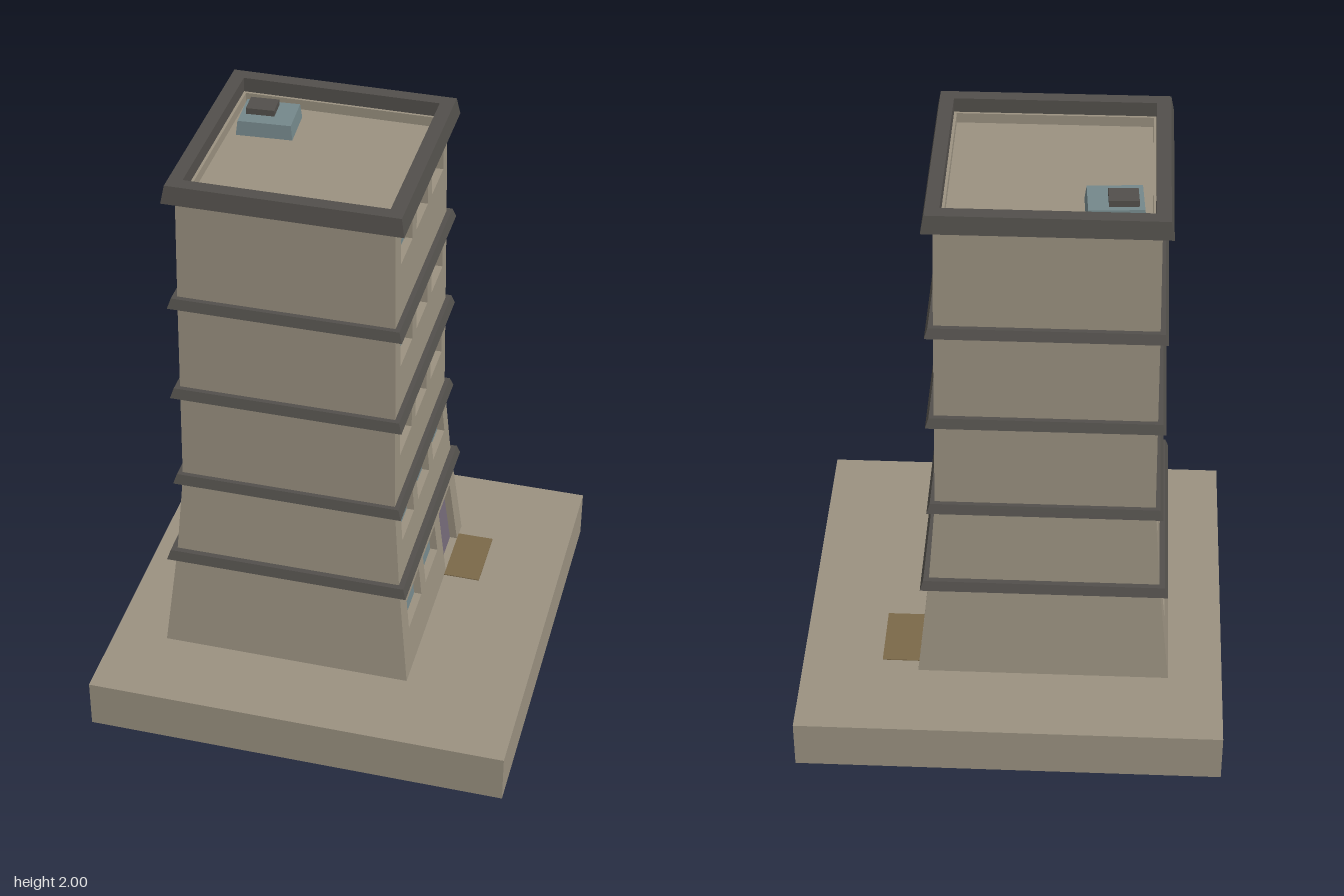
import * as THREE from 'three';

const mat = (name, color) => {
  const m = new THREE.MeshStandardMaterial({ color });
  m.name = name;
  return m;
};

export function createModel() {
  const stone = mat('stone', 0x9a9180);
  const trim = mat('dark trim', 0x524f4b);
  const glass = mat('window glass', 0x74878a);
  const doorPaint = mat('door paint', 0x746a77);
  const matting = mat('doormat', 0x7a6848);

  const model = new THREE.Group();
  const tower = new THREE.Group();
  tower.name = 'tower';
  tower.position.x = -0.108;
  model.add(tower);

  const add = (parent, name, geometry, material) => {
    const mesh = new THREE.Mesh(geometry, material);
    mesh.name = name;
    parent.add(mesh);
    return mesh;
  };
  const flat = (g) => {
    const out = g.index ? g.toNonIndexed() : g;
    out.computeVertexNormals();
    return out;
  };

  // Half width of the flared tower at each floor line
  const levels = [0.175, 0.55, 0.855, 1.21, 1.56, 1.95];
  const halves = [0.43, 0.389, 0.365, 0.361, 0.357, 0.351];
  const half = (y) => {
    let i = 0;
    while (i < 4 && y > levels[i + 1]) i++;
    return THREE.MathUtils.mapLinear(y, levels[i], levels[i + 1], halves[i], halves[i + 1]);
  };
  const depth = 0.03;

  // Quad outline; u0 and u1 are fractions of the half width
  const quad = (u0, u1, y0, y1, inset = 0) =>
    [[u0, y0], [u1, y0], [u1, y1], [u0, y1]].map(
      ([u, y]) => new THREE.Vector2(u * (half(y) - inset), y));
  // Lean a flat panel so that it follows the wall slope
  const lean = (g, offset) => {
    const p = g.attributes.position;
    for (let i = 0; i < p.count; i++) p.setZ(i, p.getZ(i) + half(p.getY(i)) + offset);
    return flat(g);
  };

  const rows = [[0.33, 0.44], [0.688, 0.775], [1.037, 1.13], [1.39, 1.48], [1.773, 1.862]];
  const threeWide = [[-0.81, -0.365], [-0.21, 0.23], [0.39, 0.85]];
  const twoWide = [[-0.73, -0.24], [0.24, 0.73]];

  // Four walls, each made of one panel per floor
  const sides = [
    { name: 'front', angle: 0, columns: [], inset: depth },
    { name: 'left', angle: Math.PI / 2, columns: threeWide, inset: 0, door: true },
    { name: 'back', angle: Math.PI, columns: [], inset: depth },
    { name: 'right', angle: -Math.PI / 2, columns: twoWide, inset: 0 },
  ];
  for (const side of sides) {
    const wall = new THREE.Group();
    wall.name = side.name + 'Wall';
    wall.rotation.y = side.angle;
    tower.add(wall);
    rows.forEach(([y0, y1], floor) => {
      const panel = new THREE.Shape(quad(-1, 1, levels[floor], levels[floor + 1], side.inset));
      side.columns.forEach(([u0, u1], column) => {
        const isDoor = side.door && floor === 0 && column === 2;
        const opening = isDoor ? quad(0.395, 0.825, 0.178, 0.44) : quad(u0, u1, y0, y1);
        panel.holes.push(new THREE.Path(opening));
        add(wall, isDoor ? 'door' : 'window',
          lean(new THREE.ShapeGeometry(new THREE.Shape(opening)), 0.004 - depth),
          isDoor ? doorPaint : glass);
      });
      add(wall, 'wallPanel',
        lean(new THREE.ExtrudeGeometry(panel, { depth, bevelEnabled: false }), -depth), stone);
    });
  }

  // Square ring from a profile of [half width, height]
  const squareRing = (profile) => flat(new THREE.LatheGeometry(
    profile.map(([r, y]) => new THREE.Vector2(r * Math.SQRT2, y)), 4, Math.PI / 4));

  // Ledges between floors
  [[0.528, 0.418], [0.842, 0.391], [1.195, 0.388], [1.546, 0.384]].forEach(([y, r]) => {
    const inner = half(y) - 0.02;
    add(tower, 'ledge', squareRing(
      [[inner, y], [r, y], [r - 0.011, y + 0.034], [inner, y + 0.034]]), trim);
  });

  // Parapet and roof
  add(tower, 'parapet', squareRing(
    [[0.33, 1.94], [0.387, 1.94], [0.376, 2], [0.33, 2], [0.33, 1.9]]), trim);
  const roof = add(tower, 'roof', new THREE.BoxGeometry(0.68, 0.02, 0.68), stone);
  roof.position.y = 1.905;

  // Rooftop cooling unit: tapered box with a dark vent
  const unit = new THREE.Group();
  unit.name = 'rooftopUnit';
  unit.position.set(-0.313, 1.915, -0.192);
  unit.rotation.y = 0.06;
  model.add(unit);
  const body = flat(new THREE.CylinderGeometry(
    0.47 * Math.SQRT2, 0.5 * Math.SQRT2, 0.05, 4).rotateY(Math.PI / 4).scale(0.187, 1, 0.153));
  add(unit, 'unitBody', body, glass).position.y = 0.025;
  add(unit, 'unitVent', new THREE.BoxGeometry(0.094, 0.022, 0.075), trim)
    .position.set(-0.024, 0.06, -0.015);

  // Ground slab and doormat
  add(model, 'groundSlab', new THREE.BoxGeometry(1.445, 0.175, 1.445), stone).position.y = 0.0875;
  add(model, 'doormat', new THREE.BoxGeometry(0.17, 0.006, 0.238), matting)
    .position.set(0.364, 0.175, -0.265);

  return model;
}
